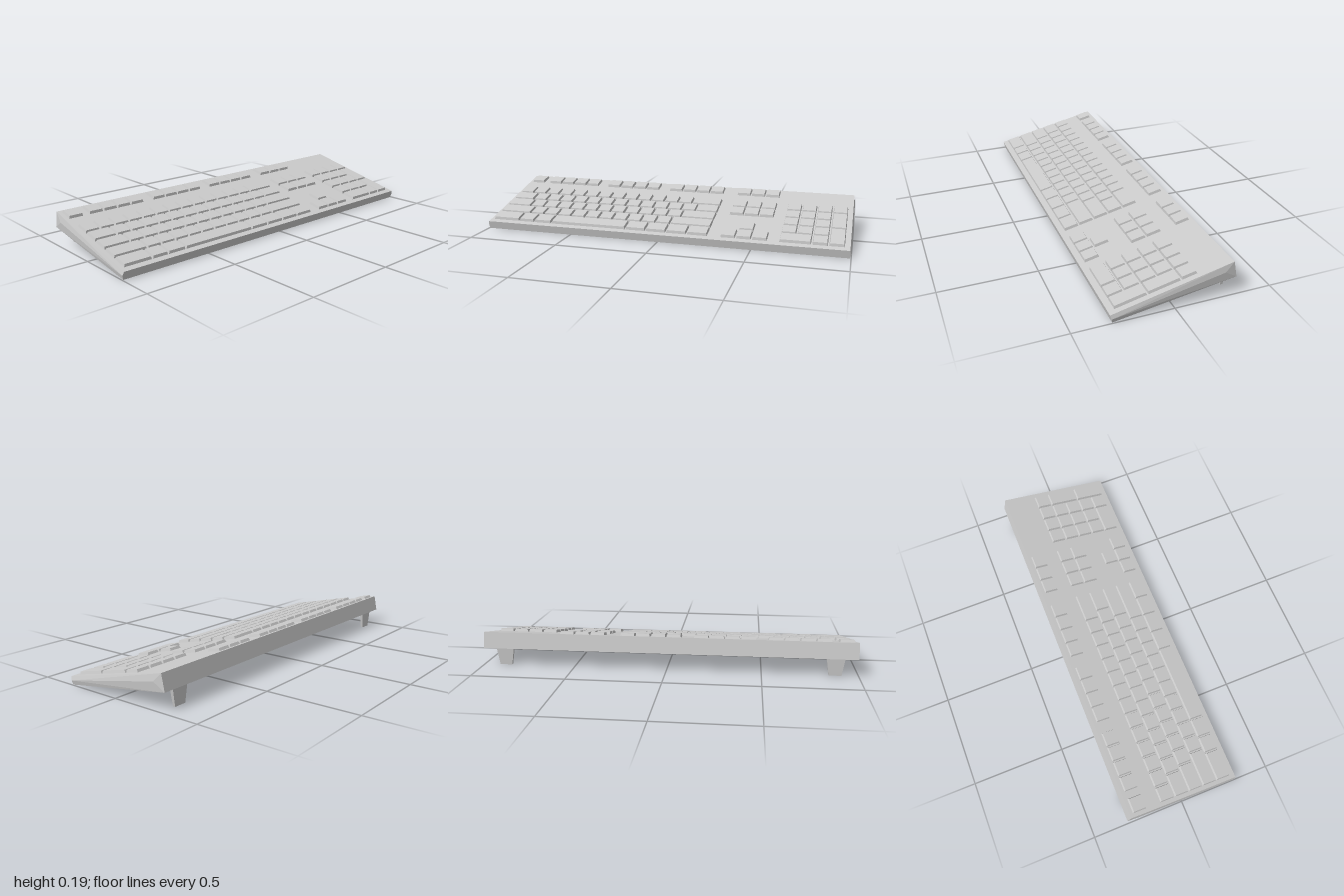
import * as THREE from 'three';
import { ConvexGeometry } from 'three/addons/geometries/ConvexGeometry.js';

const material = new THREE.MeshStandardMaterial({ color: 0xcccccc, flatShading: true });
const UNIT = 0.083; // pitch of one key
const GAP = 0.006;
const KEY_HEIGHT = 0.014;
// Side profile corners as [z, y]
const FRONT_TOP = [0.315, 0.045], FRONT_BOTTOM = [0.305, 0.003];
const BACK_TOP = [-0.295, 0.184], BACK_BOTTOM = [-0.313, 0.098];
const TILT = Math.atan2(BACK_TOP[1] - FRONT_TOP[1], FRONT_TOP[0] - BACK_TOP[0]);

// Box standing on y = 0 whose far end (top or bottom) is drawn in by insetX, insetZ
function taperedBox(w, h, d, insetX, insetZ, narrowTop = true) {
  const g = new THREE.BoxGeometry(w, h, d).translate(0, h / 2, 0);
  const p = g.attributes.position;
  for (let i = 0; i < p.count; i++) {
    if ((p.getY(i) > h / 2) !== narrowTop) continue;
    p.setX(i, p.getX(i) - Math.sign(p.getX(i)) * insetX);
    p.setZ(i, p.getZ(i) - Math.sign(p.getZ(i)) * insetZ);
  }
  g.computeVertexNormals();
  return g;
}

function addMesh(parent, name, geometry) {
  const mesh = new THREE.Mesh(geometry, material);
  mesh.name = name;
  parent.add(mesh);
  return mesh;
}

// Wedge case, its ends slightly ridged outwards
function makeCase() {
  const points = [];
  for (const s of [-1, 1]) {
    for (const [z, y] of [FRONT_TOP, FRONT_BOTTOM, BACK_TOP, BACK_BOTTOM])
      points.push(new THREE.Vector3(s * 0.994, y, z));
    for (const [z, y] of [[0.309, 0.025], [-0.25, 0.138]])
      points.push(new THREE.Vector3(s, y, z));
  }
  return new ConvexGeometry(points);
}

export function createModel() {
  const model = new THREE.Group();
  model.name = 'keyboard';
  addMesh(model, 'case', makeCase());

  // Keys lie on the sloping deck; z is given as seen from above
  const deck = new THREE.Group();
  deck.name = 'keys';
  deck.position.set(0, FRONT_TOP[1], FRONT_TOP[0]);
  deck.rotation.x = TILT;
  model.add(deck);

  function addKey(name, x0, x1, z0, z1) {
    const depth = (z1 - z0) / Math.cos(TILT);
    const key = addMesh(deck, name,
      taperedBox(x1 - x0 - GAP, KEY_HEIGHT + 0.002, depth, 0.004, 0.005));
    key.position.set((x0 + x1) / 2, -0.002, ((z0 + z1) / 2 - FRONT_TOP[0]) / Math.cos(TILT));
  }
  function addRow(name, x, [z0, z1], widths) {
    for (const w of widths) {
      addKey(name, x, x + w * UNIT, z0, z1);
      x += w * UNIT;
    }
  }
  const ones = (n) => Array(n).fill(1);

  const backRow = [-0.277, -0.203];
  const rows = [0, 1, 2, 3, 4].map((i) => [-0.122 + i * 0.0825, -0.045 + i * 0.0825]);

  // Back row: escape, three blocks of four, and three more
  addRow('escapeKey', -0.977, backRow, [1]);
  for (const x of [-0.862, -0.472, -0.078]) addRow('backRowKey', x, backRow, ones(4));
  addRow('backRowKey', 0.333, backRow, ones(3));

  // Main block, widths in key units
  const mainRows = [
    [...ones(13), 2],
    [1.5, ...ones(12), 1.5],
    [1.75, ...ones(11), 2.25],
    [2.25, ...ones(10), 2.75],
    [1.9, 1.1, 1.25, 5.25, 1.375, 1.375, 1.375, 1.375],
  ];
  mainRows.forEach((widths, i) => addRow('mainKey', -0.977, rows[i], widths));

  // Navigation block and arrows
  for (const i of [0, 1]) addRow('navigationKey', 0.333, rows[i], ones(3));
  addRow('arrowKey', 0.333 + UNIT, rows[3], [1]);
  addRow('arrowKey', 0.333, rows[4], ones(3));

  // Number pad with two tall keys and one wide key
  const padX = 0.638;
  addRow('numberKey', padX, rows[0], ones(4));
  for (const i of [1, 2, 3]) addRow('numberKey', padX, rows[i], ones(3));
  addRow('numberKey', padX, rows[4], [2, 1]);
  for (const i of [1, 3])
    addKey('tallKey', padX + 3 * UNIT, padX + 4 * UNIT, rows[i][0], rows[i + 1][1]);

  // Fold-out feet under the back edge
  for (const s of [-1, 1]) {
    const foot = addMesh(model, s > 0 ? 'leftFoot' : 'rightFoot',
      taperedBox(0.096, 0.095, 0.019, 0.015, 0.003, false));
    foot.position.set(s * 0.88, 0.004, -0.288);
  }
  return model;
}
